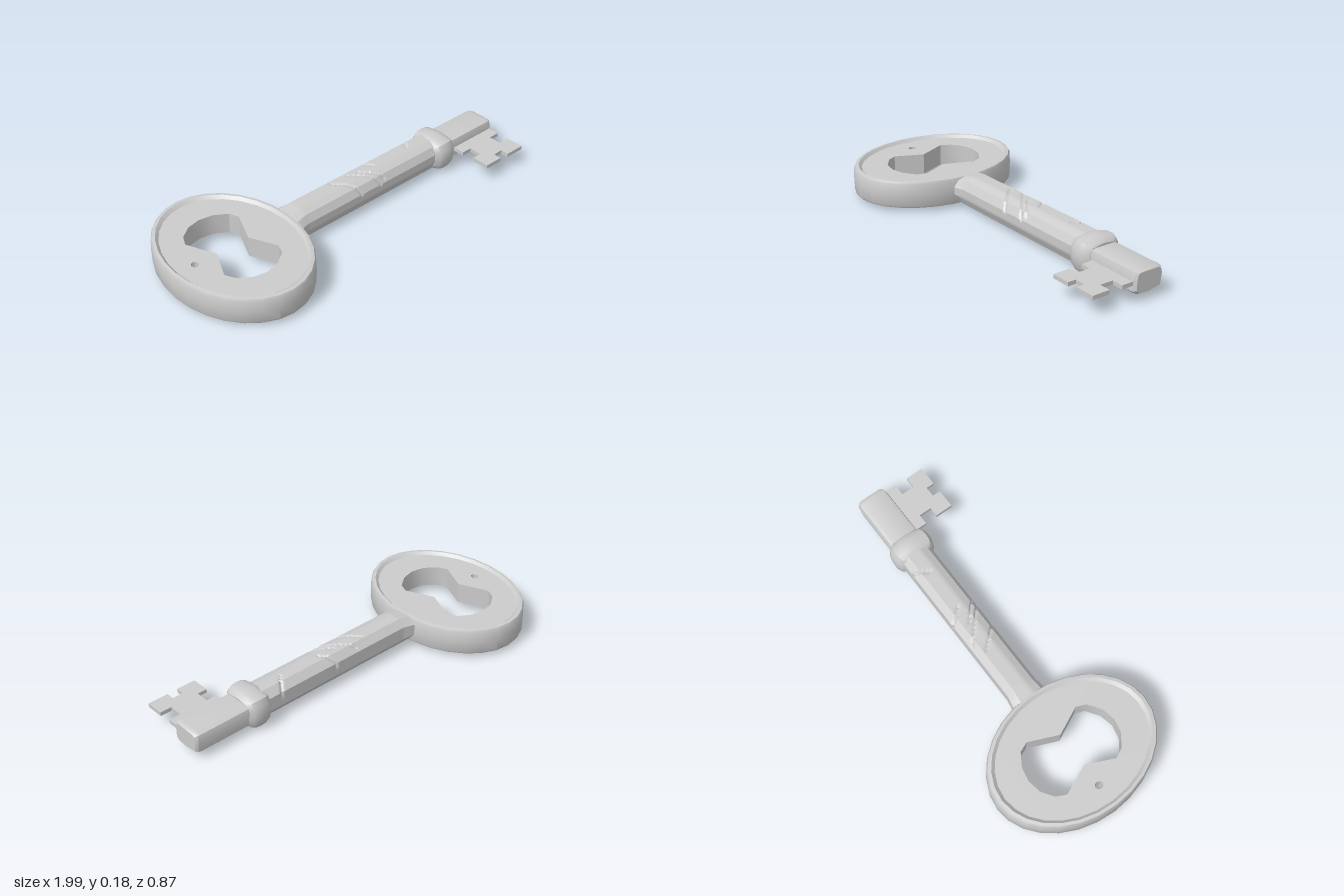
import * as THREE from 'three';
import { toCreasedNormals } from 'three/addons/utils/BufferGeometryUtils.js';

const material = new THREE.MeshStandardMaterial({ color: 0xcccccc });

function part(name, geometry, crease = 0.6) {
  const mesh = new THREE.Mesh(toCreasedNormals(geometry, crease), material);
  mesh.name = name;
  return mesh;
}

// Skin a list of rings running along +x, with both ends capped
function loft(rings) {
  const n = rings[0].length, positions = [], index = [];
  rings.forEach(ring => ring.forEach(p => positions.push(...p)));
  for (let i = 0; i < rings.length - 1; i++) {
    for (let j = 0; j < n; j++) {
      const a = i * n + j, c = i * n + (j + 1) % n;
      index.push(a, a + n, c, a + n, c + n, c);
    }
  }
  [rings[0], rings[rings.length - 1]].forEach((ring, end) => {
    const centre = positions.length / 3, base = end ? (rings.length - 1) * n : 0;
    positions.push(...[0, 1, 2].map(k => ring.reduce((s, p) => s + p[k], 0) / n));
    for (let j = 0; j < n; j++) {
      const a = base + j, b = base + (j + 1) % n;
      index.push(centre, end ? b : a, end ? a : b);
    }
  });
  const geometry = new THREE.BufferGeometry();
  geometry.setAttribute('position', new THREE.Float32BufferAttribute(positions, 3));
  geometry.setIndex(index);
  return geometry;
}

// Place a [z, y] section at x, scaled about the key's axis
const ringAt = (section, x, s, cy) => section.map(([z, y]) => [x, cy + (y - cy) * s, z * s]);

// Extrude an x/z outline downward from height top
function slab(shape, top, depth) {
  const geometry = new THREE.ExtrudeGeometry(shape, { depth, bevelEnabled: false, curveSegments: 8 });
  return geometry.rotateX(Math.PI / 2).translate(0, top, 0);
}

const points = list => list.map(([x, z]) => new THREE.Vector2(x, z));

// Oval bow: raised rim around a recessed, pierced plate
function createBow() {
  const bow = new THREE.Group();
  bow.name = 'bow';
  const rimProfile = points([
    [0.9, 0.042], [0.94, 0.025], [0.98, 0.026], [0.995, 0.036], [1, 0.095],
    [0.995, 0.152], [0.98, 0.163], [0.94, 0.165], [0.9, 0.15], [0.9, 0.042],
  ]);
  const rim = new THREE.LatheGeometry(rimProfile, 28).scale(0.335, 1, 0.437).translate(-0.66, 0, 0);
  bow.add(part('bowRim', rim));

  const plate = new THREE.Shape();
  plate.absellipse(-0.66, 0, 0.31, 0.405, 0, Math.PI * 2);
  plate.holes.push(new THREE.Path(points([
    [-0.57, 0], [-0.505, 0.14], [-0.525, 0.19], [-0.59, 0.235], [-0.66, 0.25], [-0.73, 0.235],
    [-0.79, 0.19], [-0.815, 0.14], [-0.75, 0], [-0.815, -0.15], [-0.79, -0.2], [-0.73, -0.242],
    [-0.66, -0.255], [-0.59, -0.242], [-0.525, -0.2], [-0.505, -0.15],
  ])));
  const pinhole = new THREE.Path();
  pinhole.absellipse(-0.868, -0.005, 0.018, 0.02, 0, Math.PI * 2);
  plate.holes.push(pinhole);
  bow.add(part('bowPlate', slab(plate, 0.15, 0.108)));
  return bow;
}

// Faceted shaft, cut by diagonal worn grooves
function createShaft() {
  const corners = [
    [0.08, 0.075], [0.08, 0.12], [0.058, 0.158], [0.02, 0.174], [-0.05, 0.174],
    [-0.084, 0.14], [-0.084, 0.07], [-0.06, 0.034], [0.058, 0.03],
  ];
  const section = [];
  corners.forEach(([z, y], i) => {
    const [z2, y2] = corners[(i + 1) % corners.length];
    for (let k = 0; k < 4; k++) section.push([z + (z2 - z) * k / 4, y + (y2 - y) * k / 4]);
  });
  // [x where the groove crosses z = 0, lean, lowest z, highest z]
  const grooves = [
    [0.0, 0.9, -0.04, 0.09], [0.11, 1.1, -0.07, 0.09], [0.15, 1.1, -0.03, 0.07],
    [0.24, 0.8, -0.09, 0.0], [0.45, -0.7, -0.09, -0.01],
  ];
  const rings = [];
  for (let i = 0; i <= 180; i++) {
    const x = -0.35 + 0.97 * i / 180;
    const t = THREE.MathUtils.clamp((x + 0.35) / 0.08, 0, 1);
    rings.push(section.map(([z, y]) => {
      let cut = 0;
      for (const [x0, lean, low, high] of grooves) {
        if (y < 0.11 || z < low || z > high) continue;
        cut = Math.max(cut, 1 - Math.abs(x - x0 - lean * z) / 0.012);
      }
      const s = 1 - 0.1 * cut;
      // the root widens sideways and thins where it meets the bow
      return [x, 0.1 + (y - 0.1) * s * (0.82 + 0.18 * t), z * s * (1.18 - 0.18 * t)];
    }));
  }
  return part('shaft', loft(rings), 0.5);
}

// Rounded-square collar
function createCollar() {
  const section = [
    [0.112, 0.095], [0.108, 0.14], [0.09, 0.17], [0.05, 0.178], [0, 0.185],
    [-0.05, 0.179], [-0.09, 0.17], [-0.106, 0.14], [-0.112, 0.095], [-0.106, 0.05],
    [-0.088, 0.022], [-0.05, 0.012], [0, 0.004], [0.05, 0.012], [0.09, 0.023], [0.107, 0.05],
  ];
  const profile = [[0.575, 0.74], [0.592, 0.91], [0.612, 0.98], [0.64, 1], [0.665, 0.98], [0.685, 0.91], [0.702, 0.74]];
  return part('collar', loft(profile.map(([x, s]) => ringAt(section, x, s, 0.095))), 0.7);
}

// Chamfered tip beyond the collar
function createTip() {
  const section = [
    [0.08, 0.055], [0.08, 0.115], [0.07, 0.145], [0.05, 0.15], [-0.06, 0.149],
    [-0.077, 0.14], [-0.085, 0.115], [-0.076, 0.048], [0, 0.035], [0.06, 0.038],
  ];
  const profile = [[0.67, 1], [0.965, 1], [0.983, 0.97], [0.995, 0.86]];
  return part('tip', loft(profile.map(([x, s]) => ringAt(section, x, s, 0.094))), 0.5);
}

// Thin toothed bit
function createBit() {
  const outline = new THREE.Shape(points([
    [0.715, 0.05], [0.98, 0.05], [0.98, 0.14], [0.92, 0.14], [0.92, 0.21], [0.98, 0.21],
    [0.98, 0.303], [0.875, 0.303], [0.875, 0.26], [0.82, 0.26], [0.82, 0.303],
    [0.72, 0.303], [0.72, 0.21], [0.77, 0.21], [0.77, 0.142], [0.715, 0.142],
  ]));
  return part('bit', slab(outline, 0.104, 0.02));
}

export function createModel() {
  const key = new THREE.Group();
  key.name = 'key';
  key.add(createBow(), createShaft(), createCollar(), createTip(), createBit());
  return key;
}
